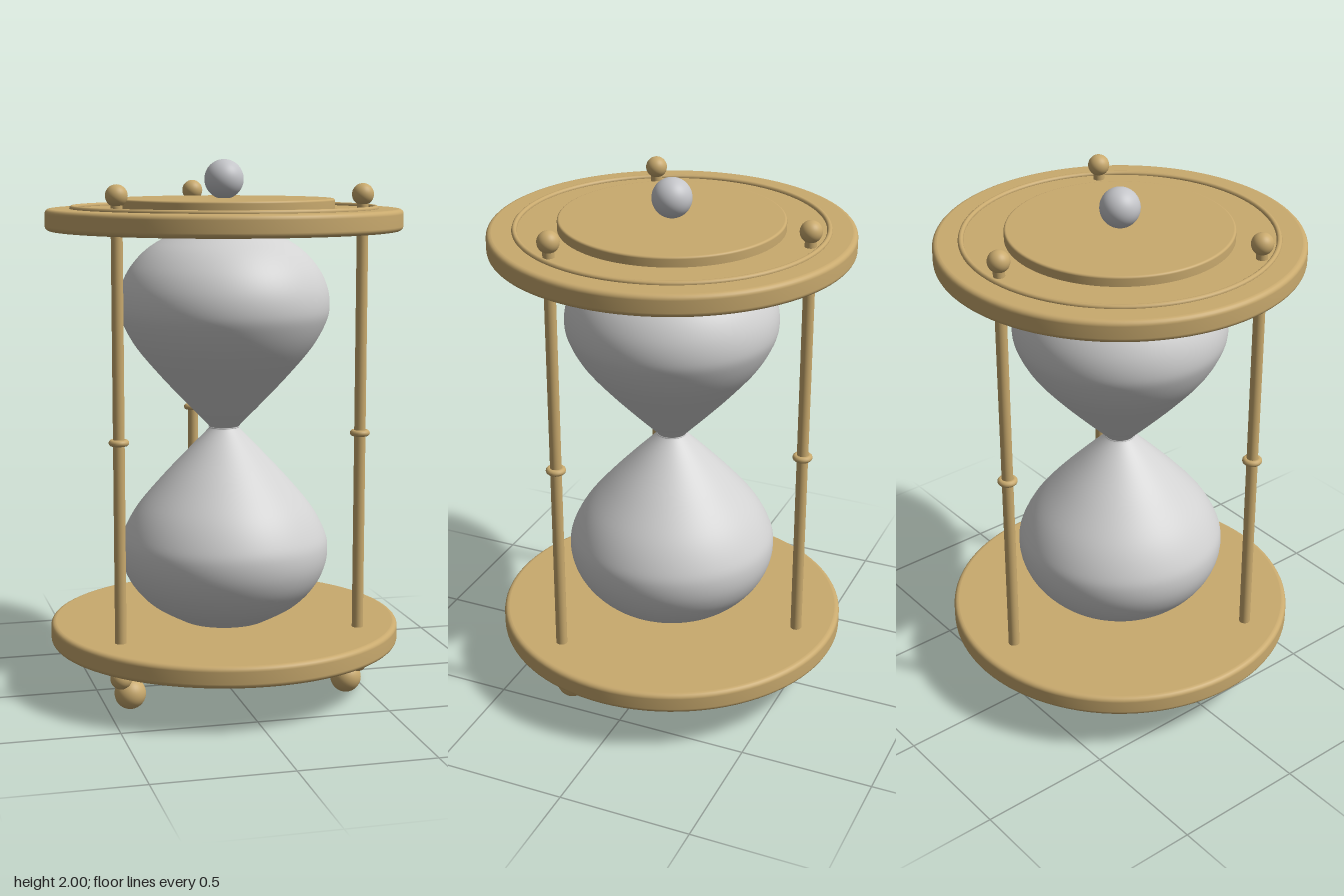
import * as THREE from 'three';

const brass = new THREE.MeshStandardMaterial({ color: 0xc9aa6e });
brass.name = 'brass';
const glass = new THREE.MeshStandardMaterial({ color: 0xd2d2d2 });
glass.name = 'frosted glass';
const silver = new THREE.MeshStandardMaterial({ color: 0xc4c5c9 });
silver.name = 'silver';

function add(parent, name, geometry, material, x = 0, y = 0, z = 0) {
  const mesh = new THREE.Mesh(geometry, material);
  mesh.name = name;
  mesh.position.set(x, y, z);
  parent.add(mesh);
  return mesh;
}

// Solid disc with a rounded rim; doubled points keep the flat faces crisp
function discGeometry(radius, y0, y1, round) {
  const pts = [new THREE.Vector2(0, y0), new THREE.Vector2(radius - round - 0.001, y0)];
  for (const [cy, start] of [[y0 + round, -Math.PI / 2], [y1 - round, 0]]) {
    for (let i = 0; i <= 5; i++) {
      const a = start + (i / 5) * Math.PI / 2;
      pts.push(new THREE.Vector2(radius - round + Math.cos(a) * round, cy + Math.sin(a) * round));
    }
  }
  pts.push(new THREE.Vector2(radius - round - 0.001, y1), new THREE.Vector2(0, y1));
  return new THREE.LatheGeometry(pts, 96);
}

// End cap: main plate, raised centre disc and thin ring, built facing up
function createCap(name) {
  const cap = new THREE.Group();
  cap.name = name;
  add(cap, 'plate', discGeometry(0.663, 0.74, 0.82, 0.018), brass);
  add(cap, 'centreDisc', discGeometry(0.41, 0.81, 0.857, 0.008), brass);
  add(cap, 'ring', new THREE.TorusGeometry(0.562, 0.01, 10, 96).rotateX(Math.PI / 2), brass, 0, 0.822);
  cap.position.y = 1;
  return cap;
}

// Mirrored double bulb, pinched to a narrow neck
function bulbGeometry() {
  const half = [
    [0.064, 0.012], [0.14, 0.09], [0.24, 0.197], [0.33, 0.305], [0.38, 0.395],
    [0.395, 0.46], [0.384, 0.535], [0.345, 0.61], [0.275, 0.68], [0.165, 0.742],
  ];
  const profile = [
    ...half.slice().reverse().map(([r, y]) => new THREE.Vector2(r, 1 - y)),
    new THREE.Vector2(0.058, 1),
    ...half.map(([r, y]) => new THREE.Vector2(r, 1 + y)),
  ];
  return new THREE.LatheGeometry(new THREE.SplineCurve(profile).getPoints(120), 72);
}

export function createModel() {
  const model = new THREE.Group();
  model.name = 'hourglass';

  const bottom = createCap('bottomCap');
  bottom.rotation.x = Math.PI;
  model.add(createCap('topCap'), bottom);

  add(model, 'glassBulbs', bulbGeometry(), glass);
  add(model, 'topFinial', new THREE.SphereGeometry(0.073, 40, 28), silver, 0, 1.927);

  // Three posts with end knobs, a middle collar and a ball foot
  for (let i = 0; i < 3; i++) {
    const post = new THREE.Group();
    post.name = 'post' + (i + 1);
    const a = Math.PI + (i * Math.PI * 2) / 3;
    const sx = Math.sin(a), sz = Math.cos(a);
    const x = 0.523 * sx, z = 0.523 * sz;
    add(post, 'rod', new THREE.CylinderGeometry(0.021, 0.021, 1.75, 24), brass, x, 1, z);
    add(post, 'collar', new THREE.TorusGeometry(0.025, 0.012, 12, 32).rotateX(Math.PI / 2), brass, x, 1, z);
    for (const y of [0.125, 1.875]) {
      add(post, 'knob', new THREE.SphereGeometry(0.04, 28, 20), brass, x, y, z);
    }
    add(post, 'foot', new THREE.SphereGeometry(0.058, 32, 22), brass, 0.48 * sx, 0.06, 0.48 * sz);
    model.add(post);
  }
  return model;
}
